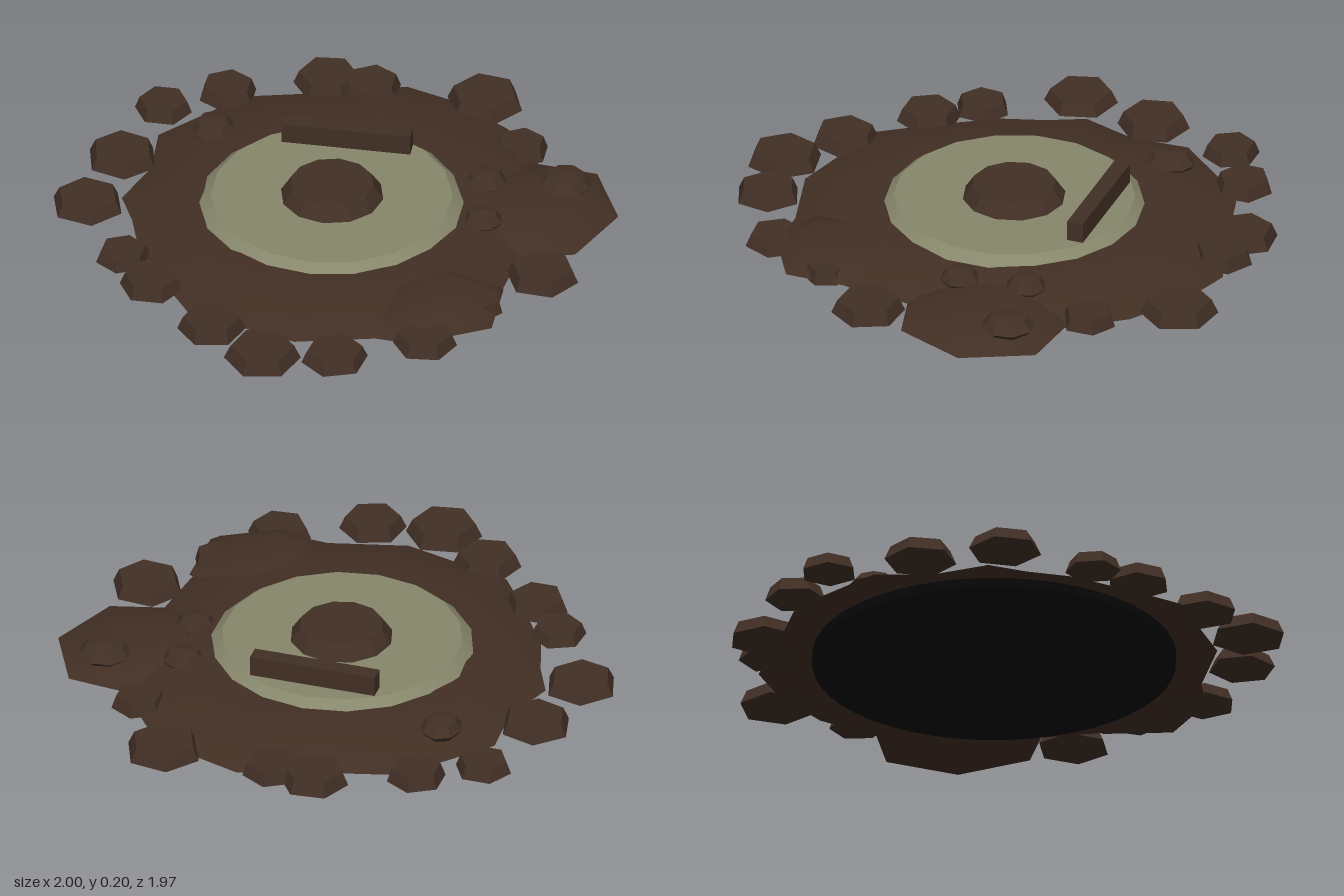
import * as THREE from 'three';

const GROUND = 0.034;

// Low heap of soil: an outline shrunk through rising rings, closed above and below.
function heapGeometry(outline, [cx, cz], rings, peak) {
  const n = outline.length, pos = [], idx = [];
  for (const [scale, y] of rings) {
    for (const [x, z] of outline) pos.push(cx + (x - cx) * scale, y, cz + (z - cz) * scale);
  }
  const top = rings.length * n;
  pos.push(cx, peak, cz);
  for (const [x, z] of outline) pos.push(x, GROUND, z);
  pos.push(cx, GROUND, cz);
  for (let i = 0; i < n; i++) {
    const j = (i + 1) % n;
    for (let r = 0; r < rings.length - 1; r++) {
      const a = r * n + i, b = r * n + j, c = a + n, d = b + n;
      idx.push(c, b, a, c, d, b);
    }
    const last = (rings.length - 1) * n;
    idx.push(top, last + j, last + i);
    idx.push(top + 1 + n, top + 1 + i, top + 1 + j);
  }
  const g = new THREE.BufferGeometry();
  g.setAttribute('position', new THREE.Float32BufferAttribute(pos, 3));
  g.setIndex(idx);
  g.computeVertexNormals();
  return g;
}

export function createModel() {
  const model = new THREE.Group();
  model.name = 'earthworkEmplacement';
  const mat = (name, color, flatShading = false) => {
    const m = new THREE.MeshStandardMaterial({ color, flatShading });
    m.name = name;
    return m;
  };
  const pitBlack = mat('pitBlack', 0x070707);
  const earth = mat('earthBrown', 0x422f24);
  const rock = mat('rockBrown', 0x412f25, true);
  const concrete = mat('concreteOlive', 0x87876c);

  const add = (name, geometry, material, x = 0, y = 0, z = 0) => {
    const m = new THREE.Mesh(geometry, material);
    m.name = name;
    m.position.set(x, y, z);
    model.add(m);
    return m;
  };

  // Dark base disc
  add('baseDisc', new THREE.CylinderGeometry(0.648, 0.648, 0.036, 48), pitBlack, -0.005, 0.018, -0.065);

  // Main soil ring
  const outline = [
    [0.70, 0.08], [0.67, 0.30], [0.60, 0.50], [0.42, 0.67], [0.28, 0.66], [0, 0.73],
    [-0.18, 0.68], [-0.40, 0.62], [-0.52, 0.45], [-0.65, 0.24], [-0.70, 0.08], [-0.76, -0.05],
    [-0.69, -0.25], [-0.70, -0.46], [-0.52, -0.66], [-0.40, -0.76], [-0.13, -0.83], [0.12, -0.91],
    [0.30, -0.85], [0.52, -0.71], [0.66, -0.52], [0.70, -0.25],
  ];
  add('soilRing', heapGeometry(outline, [0, -0.06],
    [[1, GROUND], [0.88, 0.065], [0.75, 0.085], [0.6, 0.101]], 0.105), earth);

  // Side heaps spilling outwards
  const spill = [[1, GROUND], [0.75, 0.066], [0.45, 0.086]];
  add('leftHeap', heapGeometry([
    [1.0, -0.24], [0.89, 0.02], [0.66, 0.08], [0.45, -0.02], [0.40, -0.28], [0.62, -0.52], [0.88, -0.49],
  ], [0.68, -0.24], spill, 0.094), earth);
  add('frontHeap', heapGeometry([
    [0.68, 0.54], [0.43, 0.68], [0.27, 0.60], [0.24, 0.36], [0.43, 0.19], [0.68, 0.29],
  ], [0.46, 0.44], [[1, 0.045], [0.8, 0.08], [0.5, 0.098]], 0.105), earth);

  // Concrete platform with sloping edge
  add('platform', new THREE.CylinderGeometry(0.43, 0.54, 0.095, 18), concrete, -0.005, 0.0825, -0.066);

  // Central hatch and the low wall behind it
  add('hatch', new THREE.CylinderGeometry(0.15, 0.187, 0.055, 12), rock, -0.003, 0.154, -0.066);
  add('rearWall', new THREE.BoxGeometry(0.465, 0.08, 0.06), rock, -0.005, 0.165, -0.387);

  // Hexagonal boulders around the rim: x, z, radius, turn in degrees, height
  const boulders = [
    [0.41, -0.855, 0.14, 9, 0.052], [-0.16, -0.88, 0.125, -5, 0.05], [0, -0.865, 0.11, 30, 0.05],
    [-0.5, -0.75, 0.107, 30, 0.05], [-0.71, -0.62, 0.103, 0, 0.045], [-0.80, -0.29, 0.13, 17, 0.05],
    [-0.872, 0.015, 0.132, 14, 0.046], [-0.69, 0.32, 0.1, -25, 0.044], [-0.56, 0.475, 0.115, 0, 0.048],
    [-0.305, 0.695, 0.122, -10, 0.048], [-0.095, 0.845, 0.137, -10, 0.05], [0.16, 0.81, 0.12, -20, 0.045],
    [0.46, 0.66, 0.115, -5, 0.045], [0.62, 0.41, 0.08, 10, 0.05], [0.80, 0.18, 0.132, 5, 0.05],
    [0.59, -0.58, 0.1, 30, 0.048],
  ];
  boulders.forEach(([x, z, r, turn, h], i) => {
    const m = add('boulder' + (i + 1), new THREE.CylinderGeometry(r * 0.83, r, h, 6), rock, x, GROUND + h / 2, z);
    m.rotation.y = THREE.MathUtils.degToRad(30 - turn);
  });

  // Small squashed stones lying on the soil: x, z, radius, stretch
  const stones = [
    [-0.505, -0.47, 0.077, 1.15], [0.51, -0.31, 0.075, 1], [0.54, -0.07, 0.072, 1], [0.79, -0.35, 0.098, 1],
  ];
  stones.forEach(([x, z, r, stretch], i) => {
    const m = add('stone' + (i + 1), new THREE.SphereGeometry(r, 8, 4), rock, x, 0.083, z);
    m.scale.set(1, 0.042 / r, stretch);
    m.rotation.y = i * 0.7;
  });

  return model;
}
